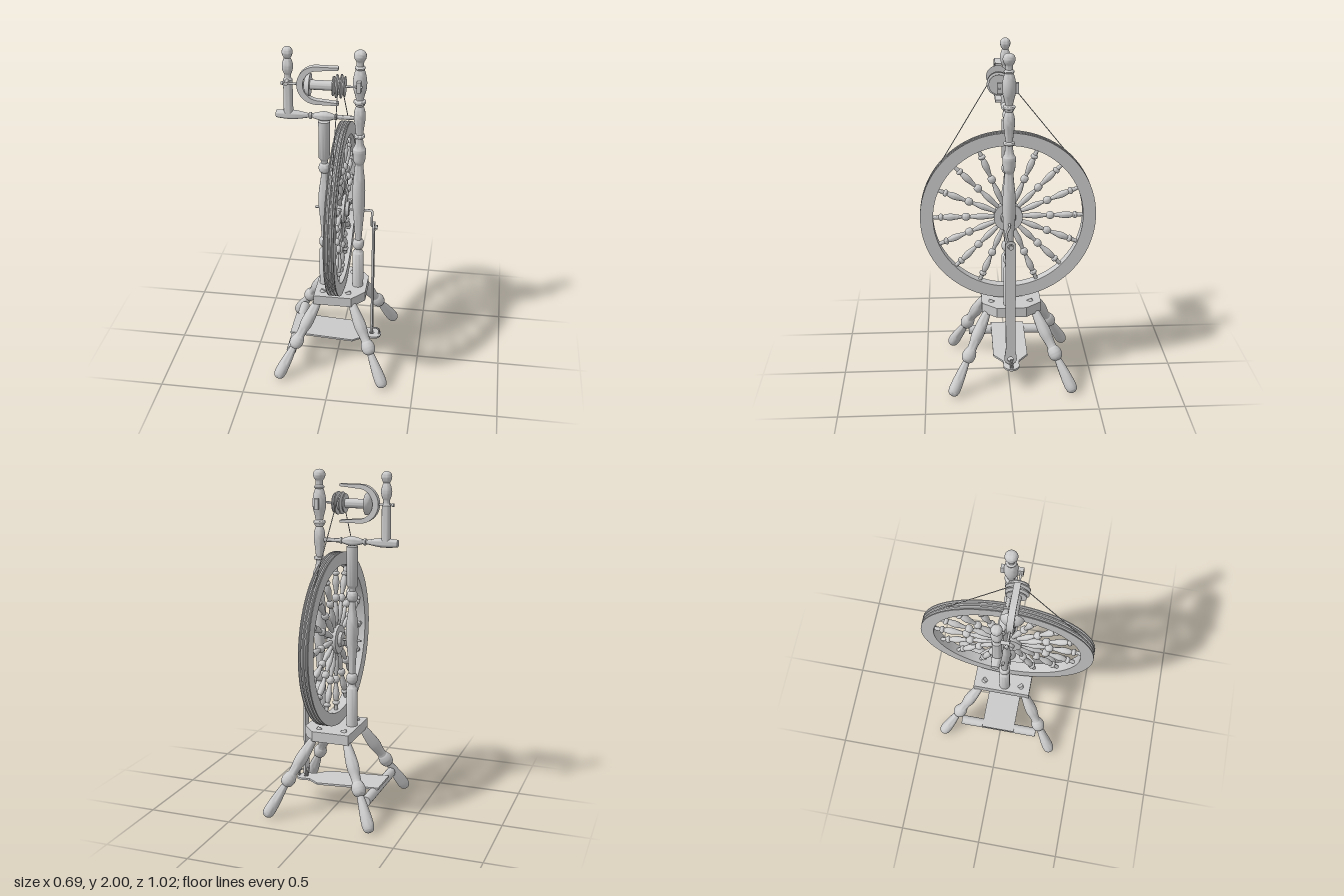
import * as THREE from 'three';
import { toCreasedNormals } from 'three/addons/utils/BufferGeometryUtils.js';

const material = new THREE.MeshStandardMaterial({ color: 0xcccccc, side: THREE.DoubleSide });
const V = (x, y, z) => new THREE.Vector3(x, y, z);
const UP = V(0, 1, 0);

function add(parent, name, geometry, x = 0, y = 0, z = 0) {
  const mesh = new THREE.Mesh(geometry, material);
  mesh.name = name;
  mesh.position.set(x, y, z);
  parent.add(mesh);
  return mesh;
}

// Turned wood: each run of [height, radius] pairs is a smooth curve, with a sharp edge between runs
function turned(runs, sides = 20) {
  const points = [];
  for (const run of runs) {
    const curve = new THREE.CatmullRomCurve3(run.map(([h, r]) => V(r, h, 0)), false, 'centripetal');
    const steps = run.length > 2 ? (run.length - 1) * 4 : 1;
    for (const p of curve.getPoints(steps)) {
      const q = new THREE.Vector2(Math.max(p.x, 0), p.y);
      if (!points.length || points[points.length - 1].distanceTo(q) > 1e-5) points.push(q);
    }
  }
  return toCreasedNormals(new THREE.LatheGeometry(points, sides), 0.7);
}

// Point a mesh built along y in a given direction
function aim(mesh, direction) {
  mesh.quaternion.setFromUnitVectors(UP, direction.clone().normalize());
  return mesh;
}

function rod(parent, name, a, b, radius, sides = 12) {
  const d = b.clone().sub(a);
  const c = a.clone().add(b).multiplyScalar(0.5);
  return aim(add(parent, name, new THREE.CylinderGeometry(radius, radius, d.length(), sides), c.x, c.y, c.z), d);
}

const shapeOf = pts => new THREE.Shape(pts.map(([x, y]) => new THREE.Vector2(x, y)));
const hole = (x, y, r) => new THREE.Path().absarc(x, y, r, 0, Math.PI * 2, true);
const extrude = (shape, depth) =>
  new THREE.ExtrudeGeometry(shape, { depth, bevelEnabled: false, curveSegments: 16 });

function buildBase(g) {
  // Table with two clipped corners
  const top = extrude(shapeOf([[-0.125, -0.16], [0.1, -0.16], [0.175, -0.075], [0.175, 0.1], [0.1, 0.19], [-0.125, 0.19]]), 0.06);
  add(g, 'table', top.rotateX(-Math.PI / 2), 0, 0.44, 0);

  // Four splayed legs whose tenons show through the table
  const leg = turned([
    [[0, 0], [0.004, 0.015], [0.013, 0.027], [0.034, 0.034], [0.08, 0.034], [0.15, 0.028], [0.215, 0.02]],
    [[0.215, 0.02], [0.228, 0.034], [0.258, 0.041], [0.288, 0.034], [0.3, 0.027]],
    [[0.3, 0.027], [0.335, 0.029], [0.385, 0.036], [0.44, 0.034], [0.53, 0.022], [0.54, 0.017]],
    [[0.54, 0.017], [0.612, 0.017]], [[0.612, 0.017], [0.612, 0]]]);
  for (const sx of [-1, 1]) for (const sz of [-1, 1]) {
    aim(add(g, 'leg', leg, sx * 0.322, 0.006, -0.0125 + sz * 0.36), V(-sx * 0.5, 1, -sz * 0.5));
  }
}

function buildTreadle(g) {
  const treadle = new THREE.Group();
  treadle.name = 'treadle';
  g.add(treadle);
  rod(treadle, 'treadleBar', V(-0.253, 0.138, -0.25), V(-0.253, 0.138, 0.235), 0.029, 20);
  // Pedal board narrowing to a rounded tongue
  const board = shapeOf([[-0.285, -0.103], [0.1, -0.103], [0.17, -0.047]]);
  board.lineTo(0.22, -0.047);
  board.absarc(0.22, 0, 0.047, -Math.PI / 2, Math.PI / 2, false);
  board.lineTo(0.17, 0.047);
  board.lineTo(0.1, 0.103);
  board.lineTo(-0.285, 0.103);
  board.holes.push(hole(0.21, 0, 0.014));
  const pedal = add(treadle, 'pedal', extrude(board, 0.012).rotateX(-Math.PI / 2), 0, 0.144, -0.009);
  pedal.rotation.z = -0.055;
  // Cord loops tying the connecting rod to the pedal
  for (const tilt of [-0.25, 0.25]) {
    const cord = add(treadle, 'cordLoop', new THREE.TorusGeometry(0.028, 0.004, 8, 24), 0.23, 0.155, -0.009);
    cord.rotation.y = tilt;
  }
}

function buildPosts(g) {
  const lower = [
    [[0.5, 0], [0.5, 0.033]], [[0.5, 0.033], [0.73, 0.033]],
    [[0.73, 0.033], [0.745, 0.022], [0.758, 0.019]],
    [[0.758, 0.019], [0.768, 0.029], [0.79, 0.034], [0.812, 0.029], [0.822, 0.019]]];
  add(g, 'shortPost', turned([...lower,
    [[0.822, 0.019], [0.92, 0.025], [1.03, 0.035], [1.12, 0.034], [1.2, 0.023], [1.25, 0.018]],
    [[1.25, 0.018], [1.26, 0.029], [1.28, 0.033], [1.3, 0.029], [1.312, 0.019]],
    [[1.312, 0.019], [1.33, 0.022], [1.345, 0.033]],
    [[1.345, 0.033], [1.57, 0.033]], [[1.57, 0.033], [1.57, 0]]]), -0.08, 0, 0);
  add(g, 'tallPost', turned([...lower,
    [[0.822, 0.019], [0.92, 0.026], [1.05, 0.036], [1.18, 0.036], [1.28, 0.027], [1.32, 0.024]],
    [[1.32, 0.024], [1.335, 0.032], [1.38, 0.037], [1.41, 0.039]],
    [[1.41, 0.039], [1.43, 0.028], [1.46, 0.022], [1.482, 0.021]],
    [[1.482, 0.021], [1.487, 0.031], [1.499, 0.031], [1.504, 0.021]],
    [[1.504, 0.021], [1.55, 0.026], [1.61, 0.033], [1.65, 0.029], [1.675, 0.02]],
    [[1.675, 0.02], [1.682, 0.028], [1.69, 0.028], [1.695, 0.034], [1.706, 0.034], [1.712, 0.021]],
    [[1.712, 0.021], [1.74, 0.027], [1.78, 0.037], [1.82, 0.039], [1.86, 0.033], [1.89, 0.024]],
    [[1.89, 0.024], [1.895, 0.029], [1.903, 0.029], [1.91, 0.02]],
    [[1.91, 0.02], [1.935, 0.022], [1.95, 0.031], [1.97, 0.035], [1.988, 0.028], [1.997, 0.015], [2, 0]]]), 0.12, 0, 0);
}

function buildWheel(g) {
  const wheel = new THREE.Group();
  wheel.name = 'driveWheel';
  wheel.position.set(0.02, 1.02, 0);
  g.add(wheel);
  // Rim with three grooves, turned about the axle
  const outer = [[0.435, -0.03], [0.51, -0.03], [0.51, -0.025], [0.496, -0.022], [0.496, -0.017], [0.51, -0.014],
    [0.51, -0.006], [0.496, -0.003], [0.496, 0.003], [0.51, 0.006], [0.51, 0.014], [0.496, 0.017],
    [0.496, 0.022], [0.51, 0.025], [0.51, 0.03], [0.435, 0.03], [0.435, -0.03]];
  const rim = new THREE.LatheGeometry(outer.map(([r, h]) => new THREE.Vector2(r, h)), 80);
  aim(add(wheel, 'rim', toCreasedNormals(rim, 0.5)), V(1, 0, 0));
  aim(add(wheel, 'hub', turned([[[-0.045, 0], [-0.045, 0.04]], [[-0.045, 0.04], [-0.026, 0.045]],
    [[-0.026, 0.045], [-0.026, 0.084]], [[-0.026, 0.084], [0.026, 0.084]], [[0.026, 0.084], [0.026, 0.045]],
    [[0.026, 0.045], [0.045, 0.04]], [[0.045, 0.04], [0.045, 0]]], 40)), V(1, 0, 0));
  // Sixteen turned spokes
  const spoke = turned([
    [[0.075, 0.01], [0.12, 0.015], [0.165, 0.018], [0.205, 0.012], [0.222, 0.01]],
    [[0.222, 0.01], [0.23, 0.019], [0.245, 0.023], [0.26, 0.019], [0.268, 0.01]],
    [[0.268, 0.01], [0.295, 0.014], [0.335, 0.02], [0.37, 0.015], [0.378, 0.012]],
    [[0.378, 0.012], [0.384, 0.02], [0.396, 0.02], [0.402, 0.013]],
    [[0.402, 0.013], [0.44, 0.01]]], 14);
  for (let i = 0; i < 16; i++) {
    add(wheel, 'spoke', spoke).rotation.x = i * Math.PI / 8;
  }
}

function buildCrank(g) {
  rod(g, 'axle', V(-0.135, 1.02, 0), V(0.2, 1.02, 0), 0.007);
  const bend = new THREE.CatmullRomCurve3([V(0.19, 1.02, 0), V(0.2, 1.015, 0.004), V(0.2, 0.98, 0.018),
    V(0.2, 0.94, 0.012), V(0.2, 0.915, -0.004), V(0.21, 0.907, -0.006), V(0.232, 0.907, -0.006)]);
  add(g, 'crank', new THREE.TubeGeometry(bend, 40, 0.007, 10));
  rod(g, 'crankCap', V(0.224, 0.907, -0.006), V(0.232, 0.907, -0.006), 0.014);
  // Flat connecting rod with a hole at each end
  const bar = new THREE.Shape();
  bar.moveTo(-0.031, 0.91);
  bar.lineTo(-0.028, 0.25);
  bar.lineTo(-0.037, 0.185);
  bar.absarc(0, 0.185, 0.037, Math.PI, Math.PI * 2, false);
  bar.lineTo(0.028, 0.25);
  bar.lineTo(0.031, 0.91);
  bar.absarc(0, 0.91, 0.031, 0, Math.PI, false);
  bar.holes.push(hole(0, 0.907, 0.016), hole(0, 0.18, 0.017));
  add(g, 'connectingRod', extrude(bar, 0.012).rotateY(Math.PI / 2), 0.204, 0, -0.004);
}

function buildFlyer(g) {
  // Crossbar and front upright that carry the flyer
  aim(add(g, 'crossbar', turned([
    [[-0.35, 0], [-0.35, 0.021]], [[-0.35, 0.021], [-0.3, 0.026], [-0.25, 0.026], [-0.19, 0.017], [-0.165, 0.012]],
    [[-0.165, 0.012], [-0.162, 0.019], [-0.15, 0.019], [-0.147, 0.012]],
    [[-0.147, 0.012], [-0.12, 0.02], [-0.08, 0.028], [-0.045, 0.022], [-0.02, 0.013]],
    [[-0.02, 0.013], [-0.017, 0.018], [-0.008, 0.018], [-0.005, 0.012]],
    [[-0.005, 0.012], [0.12, 0.012]]]), 0, 1.6, 0), V(1, 0, 0));
  add(g, 'frontUpright', turned([
    [[1.61, 0], [1.61, 0.027]], [[1.61, 0.027], [1.81, 0.026]], [[1.81, 0.026], [1.815, 0.02], [1.838, 0.018]],
    [[1.838, 0.018], [1.86, 0.027], [1.89, 0.031], [1.92, 0.024], [1.935, 0.018]],
    [[1.935, 0.018], [1.95, 0.026], [1.97, 0.03], [1.988, 0.024], [1.997, 0.012], [2, 0]]]), -0.28, 0, 0);

  const flyer = new THREE.Group();
  flyer.name = 'flyer';
  flyer.position.set(0, 1.807, 0.053);
  g.add(flyer);
  rod(flyer, 'spindle', V(-0.305, 0, 0), V(0.14, 0, 0), 0.006);
  rod(flyer, 'spindleTip', V(-0.308, 0, 0), V(-0.296, 0, 0), 0.01);
  rod(flyer, 'frontBearing', V(-0.28, 0, -0.05), V(-0.28, 0, 0.012), 0.011);
  add(flyer, 'rearBearing', new THREE.BoxGeometry(0.024, 0.06, 0.12), 0.12, 0, -0.047);

  // U-shaped arms
  const arms = new THREE.Shape();
  arms.moveTo(0.01, 0.11);
  arms.lineTo(-0.11, 0.11);
  arms.absarc(-0.11, 0, 0.11, Math.PI / 2, Math.PI * 1.5, false);
  arms.lineTo(0.01, -0.11);
  arms.lineTo(0.01, -0.096);
  arms.lineTo(-0.1, -0.086);
  arms.absarc(-0.1, 0, 0.086, Math.PI * 1.5, Math.PI / 2, true);
  arms.lineTo(0.01, 0.096);
  add(flyer, 'arms', extrude(arms, 0.036), 0, 0, -0.018);

  // Domed bobbin end, core and grooved pulleys
  aim(add(flyer, 'bobbin', turned([
    [[-0.182, 0], [-0.18, 0.02], [-0.172, 0.045], [-0.155, 0.061]], [[-0.155, 0.061], [-0.145, 0.063]],
    [[-0.145, 0.063], [-0.145, 0.027]], [[-0.145, 0.027], [-0.022, 0.027]],
    [[-0.022, 0.027], [-0.022, 0.054]], [[-0.022, 0.054], [-0.016, 0.054]], [[-0.016, 0.054], [-0.01, 0.042]],
    [[-0.01, 0.042], [-0.004, 0.064]], [[-0.004, 0.064], [0.003, 0.064]], [[0.003, 0.064], [0.01, 0.045]],
    [[0.01, 0.045], [0.017, 0.045]], [[0.017, 0.045], [0.022, 0.066]], [[0.022, 0.066], [0.028, 0.066]],
    [[0.028, 0.066], [0.034, 0.045]], [[0.034, 0.045], [0.042, 0.056]], [[0.042, 0.056], [0.047, 0.056]],
    [[0.047, 0.056], [0.047, 0]]], 32)), V(1, 0, 0));
}

// Two cord runs, each tangent to the wheel and the pulley
function buildDriveBand(g) {
  const dz = 0.053, dy = 0.787, r1 = 0.5, r2 = 0.05;
  const facing = Math.atan2(dy, dz), spread = Math.acos((r1 - r2) / Math.hypot(dy, dz));
  for (const side of [-1, 1]) {
    const a = facing + side * spread, c = Math.cos(a), s = Math.sin(a);
    rod(g, 'driveBand', V(0.02, 1.02 + r1 * s, r1 * c), V(0.013, 1.807 + r2 * s, dz + r2 * c), 0.0025, 6);
  }
}

export function createModel() {
  const g = new THREE.Group();
  g.name = 'spinningWheel';
  for (const build of [buildBase, buildTreadle, buildPosts, buildWheel, buildCrank, buildFlyer, buildDriveBand]) build(g);
  return g;
}
